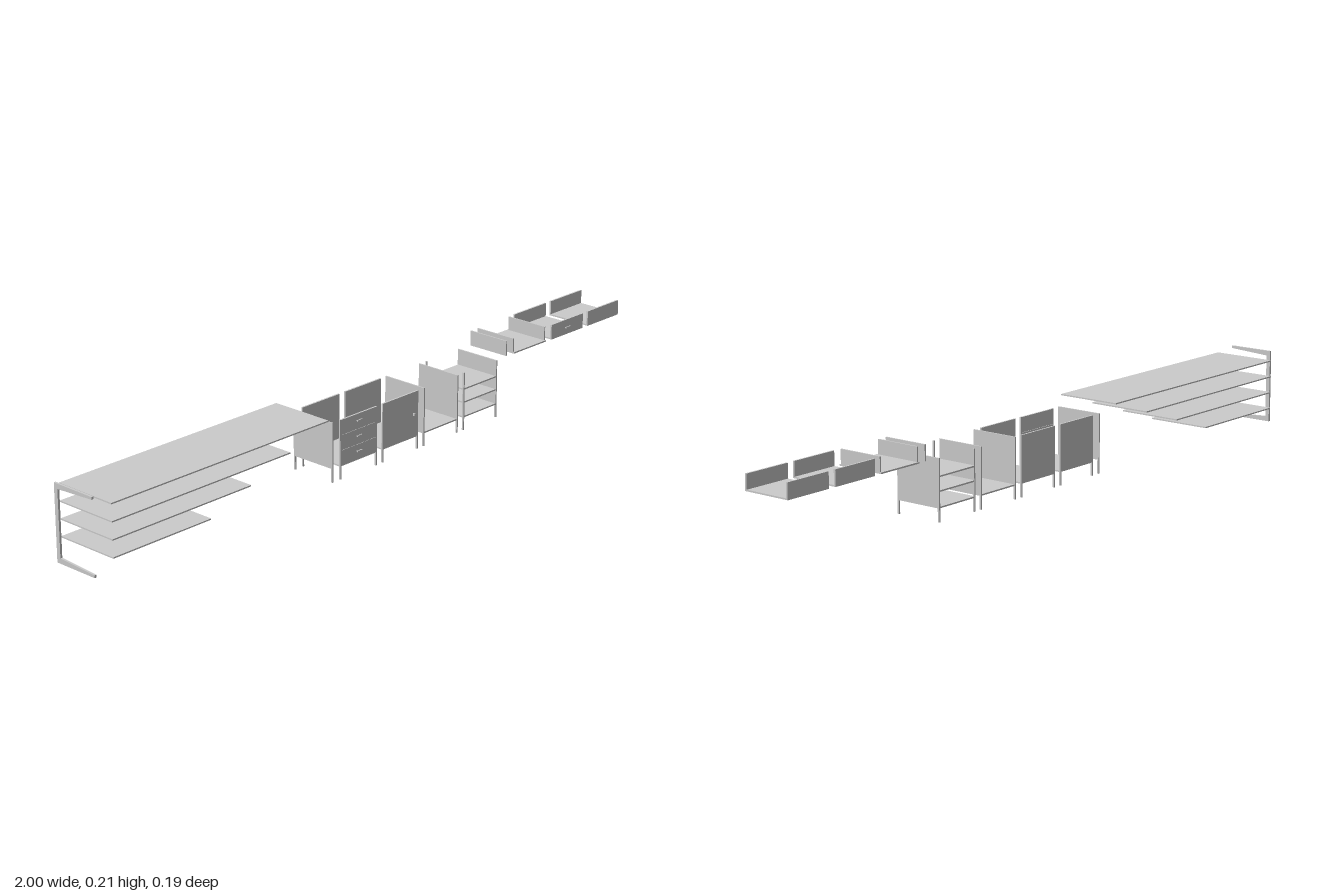
import * as THREE from 'three';

export function createModel() {
  const model = new THREE.Group();
  const mat = new THREE.MeshStandardMaterial({ color: 0xcccccc, flatShading: true });
  const T = 0.005;            // board and post thickness
  const D = 0.0695;           // half depth of the units
  const W = 0.139;            // unit width
  const PITCH = 0.1615;       // spacing between units
  const FLOOR = 0.038, TOP = 0.165, RIM = 0.208;

  // Box given by its min and max on each axis
  function box(parent, name, x0, x1, y0, y1, z0, z1) {
    const mesh = new THREE.Mesh(new THREE.BoxGeometry(x1 - x0, y1 - y0, z1 - z0), mat);
    mesh.position.set((x0 + x1) / 2, (y0 + y1) / 2, (z0 + z1) / 2);
    mesh.name = name;
    parent.add(mesh);
  }

  function group(name) {
    const g = new THREE.Group();
    g.name = name;
    model.add(g);
    return g;
  }

  // Panels: front/back span the width, sides sit between them
  const front = (g, x, y0, y1) => box(g, 'frontPanel', x, x + W, y0, y1, D - T, D);
  const back = (g, x, y0, y1) => box(g, 'backPanel', x, x + W, y0, y1, -D, T - D);
  const side = (g, x, y0, y1) => box(g, 'sidePanel', x, x + 0.004, y0, y1, T - D, D - T);
  const floor = (g, x, y) => box(g, 'shelf', x, x + W, y, y + 0.004, -D + 0.001, D - 0.001);

  // Front and back posts running from the ground to the top of a unit
  function posts(g, x) {
    box(g, 'frontPost', x, x + 0.004, 0, TOP, D - T, D);
    box(g, 'backPost', x, x + 0.004, 0, TOP, -D, T - D);
  }

  // Bar handle on two short stems
  function handle(g, x, y, half) {
    box(g, 'handleBar', x - half, x + half, y - 0.002, y + 0.002, D + 0.003, D + 0.006);
    for (const s of [-1, 1]) {
      const c = x + s * (half - 0.002);
      box(g, 'handleStem', c - 0.001, c + 0.001, y - 0.001, y + 0.001, D, D + 0.004);
    }
  }

  // Four table tops, shorter towards the bottom
  const tops = group('tableTops');
  for (let i = 0; i < 4; i++) {
    const y = 0.048 + i * 0.0465;
    box(tops, 'tableTop', -0.963, -0.642 + i * 0.139, y - 0.0018, y + 0.0018, -0.093, 0.093);
  }

  // C-shaped table leg with tapered foot and arm
  const outline = new THREE.Shape([
    [0.066, 0], [0.066, 0.007], [-0.056, 0.014], [-0.056, RIM - 0.014],
    [0.066, RIM - 0.007], [0.066, RIM], [-0.068, RIM], [-0.068, 0],
  ].map(([z, y]) => new THREE.Vector2(z, y)));
  const legGeo = new THREE.ExtrudeGeometry(outline, { depth: 0.006, bevelEnabled: false });
  legGeo.rotateY(-Math.PI / 2);
  const leg = new THREE.Mesh(legGeo, mat);
  leg.position.x = -0.994;
  leg.name = 'tableLeg';
  model.add(leg);

  // Separate end frame
  const end = group('endFrame');
  posts(end, -0.1865);
  side(end, -0.1865, FLOOR, TOP);

  // Floor units on posts
  const units = ['drawerUnit', 'doorUnit', 'openUnit', 'shelfUnit'].map((name, i) => {
    const g = group(name);
    const x = -0.157 + i * PITCH;
    posts(g, x);
    posts(g, x + W - 0.004);
    floor(g, x, FLOOR - 0.002);
    return { g, x };
  });
  const [drawers, door, open, shelves] = units;

  // Three drawer fronts with handles
  for (let i = 0; i < 3; i++) {
    const y = FLOOR + i * 0.0424;
    front(drawers.g, drawers.x, y, y + 0.0417);
    handle(drawers.g, drawers.x + W / 2, y + 0.024, 0.009);
  }
  back(drawers.g, drawers.x, FLOOR, TOP);

  // Door with a small knob
  front(door.g, door.x, FLOOR, TOP);
  back(door.g, door.x, FLOOR, TOP);
  box(door.g, 'knob', door.x + 0.119, door.x + 0.123, 0.099, 0.106, D, D + 0.005);

  // Open unit between two sides
  side(open.g, open.x, FLOOR, TOP);
  side(open.g, open.x + W - 0.004, FLOOR, TOP);

  // Shelves with one side
  floor(shelves.g, shelves.x, 0.078);
  floor(shelves.g, shelves.x, 0.116);
  side(shelves.g, shelves.x + W - 0.004, FLOOR, TOP);

  // Top trays: loose side, sided tray, drawer tray, plain tray
  const loose = group('looseTraySide');
  side(loose, 0.509, TOP, RIM);
  const trays = ['sidedTray', 'drawerTray', 'plainTray'].map((name, i) => {
    const g = group(name);
    const x = 0.538 + i * PITCH;
    floor(g, x, TOP);
    return { g, x };
  });
  side(trays[0].g, trays[0].x, TOP, RIM);
  side(trays[0].g, trays[0].x + W - 0.004, TOP, RIM);
  for (const { g, x } of trays.slice(1)) {
    front(g, x, TOP, RIM);
    back(g, x, TOP, RIM);
  }
  handle(trays[1].g, trays[1].x + W / 2, 0.186, 0.011);

  return model;
}
